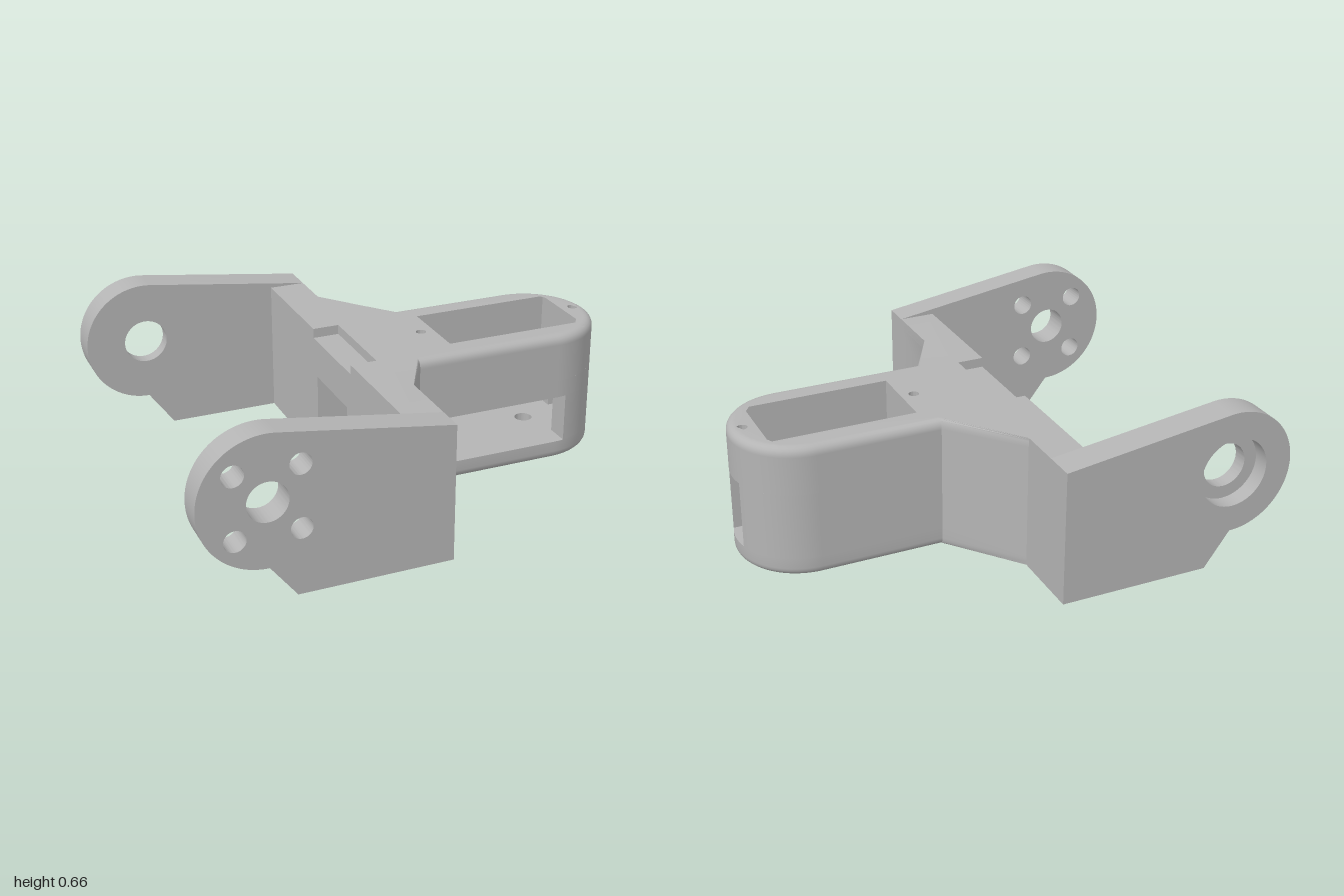
import * as THREE from 'three';
import { toCreasedNormals } from 'three/addons/utils/BufferGeometryUtils.js';

const R = 0.265;        // half width of the rounded housing
const END = 0.735;      // centre of its round end
const FILLET = 0.035;

const grey = new THREE.MeshStandardMaterial({ color: 0xb4b4b4 });
grey.name = 'grey';

function circle(x, y, r) {
  return new THREE.Path().absarc(x, y, r, 0, Math.PI * 2, true);
}

// Points on the round end, between two z values
function endArc(z0, z1, n = 28) {
  const a0 = Math.asin(z0 / R), a1 = Math.asin(z1 / R), pts = [];
  for (let i = 0; i <= n; i++) {
    const a = a0 + (a1 - a0) * i / n;
    pts.push([END + R * Math.cos(a), R * Math.sin(a)]);
  }
  return pts;
}

function finish(geo, name) {
  const mesh = new THREE.Mesh(toCreasedNormals(geo, 0.6), grey);
  mesh.name = name;
  return mesh;
}

// Horizontal slab from an x/z outline; side -1 or 1 rounds the lower or upper housing edge
function slab(name, outline, y0, y1, holes = [], side = 0) {
  const shape = new THREE.Shape(outline.map(([x, z]) => new THREE.Vector2(x, -z)));
  shape.holes.push(...holes);
  const steps = side ? 6 : 1, h = y1 - y0;
  const geo = new THREE.ExtrudeGeometry(shape, { depth: 1, steps, bevelEnabled: false, curveSegments: 24 });
  geo.rotateX(-Math.PI / 2);
  const p = geo.attributes.position;
  for (let i = 0; i < p.count; i++) {
    let x = p.getX(i), z = p.getZ(i), t = p.getY(i);
    let y = t * h;
    if (side) {
      const k = Math.round((side > 0 ? t : 1 - t) * steps);
      const a = Math.max(0, k - 1) / (steps - 1) * Math.PI / 2;
      const up = k === 0 ? 0 : h - FILLET + FILLET * Math.sin(a);
      y = side > 0 ? up : h - up;
      const sx = Math.min(x, END), d = Math.hypot(x - sx, z);
      if (x > 0.1 && Math.abs(d - R) < 0.002) {
        const f = (R - FILLET * (1 - Math.cos(a))) / R;
        x = sx + (x - sx) * f;
        z *= f;
      }
    }
    p.setXYZ(i, x, y0 + y, z);
  }
  return finish(geo, name);
}

// Upright arm plate with a round eye, between two z values
function armPlate(name, r, z0, z1, holes) {
  const s = new THREE.Shape();
  s.moveTo(-0.01, 0);
  s.lineTo(-0.01, 0.56);
  s.absarc(-0.735, 0.4, r, 1.426, Math.PI * 1.5, false);
  s.lineTo(-0.63, 0);
  s.closePath();
  s.holes.push(...holes);
  const geo = new THREE.ExtrudeGeometry(s, { depth: z1 - z0, bevelEnabled: false, curveSegments: 40 });
  geo.translate(0, 0, z0);
  return finish(geo, name);
}

export function createModel() {
  const model = new THREE.Group();
  model.name = 'jointBracket';

  // Outline pieces shared by the layers
  const front = [[-0.16, 0.725], [-0.01, 0.725], [-0.01, 0.465], [0.11, R]];
  const back = [[0.23, -R], [-0.01, -0.535], [-0.01, -0.715], [-0.16, -0.715]];
  const full = [...front, ...endArc(R, -R, 48), ...back];
  const notch = [[-0.16, -0.2], [-0.05, -0.2], [-0.05, 0.2], [-0.16, 0.2]];
  const pocket = () => new THREE.Path([[0.29, -0.16], [0.29, 0.16], [0.89, 0.16], [0.89, -0.16]]
    .map(([x, y]) => new THREE.Vector2(x, y)));
  const topHoles = () => [pocket(), circle(0.235, 0, 0.021), circle(0.945, 0, 0.021)];

  const body = new THREE.Group();
  body.name = 'housing';
  model.add(body);

  // Floor with its drain hole
  body.add(slab('floor', full, 0, 0.08, [circle(0.73, 0, 0.037)], -1));

  // Walls around the cable channel, front window and end window
  const backWall = [...endArc(-0.067, -R), ...back, [-0.16, -0.16], [0.89, -0.16], [0.89, -0.067]];
  body.add(slab('backWall', backWall, 0.08, 0.36));
  body.add(slab('frontWallInner', [...front, [0.17, R], [0.17, 0.16], [-0.16, 0.16]], 0.08, 0.285));
  const corner = endArc(R, 0.085).filter(([x]) => x > 0.785);
  body.add(slab('frontWallOuter',
    [[0.78, Math.sqrt(R * R - 0.045 ** 2)], ...corner, [0.89, 0.085], [0.89, 0.16], [0.78, 0.16]], 0.08, 0.285));
  body.add(slab('windowLintel',
    [...front, ...endArc(R, 0.085), [0.89, 0.085], [0.89, 0.16], [-0.16, 0.16]], 0.285, 0.36));

  // Upper body with pocket and screw holes, then the notched top
  body.add(slab('upperBody', full, 0.36, 0.52, topHoles()));
  body.add(slab('topRim', [...full, ...notch], 0.52, 0.56, topHoles(), 1));

  // Small peg inside the front window
  const peg = new THREE.CylinderGeometry(0.025, 0.025, 0.045, 20);
  peg.rotateZ(Math.PI / 2);
  peg.translate(0.1875, 0.19, 0.235);
  body.add(finish(peg, 'windowPeg'));

  // Front arm: axle hole and four screw holes
  const screws = [];
  for (const x of [-0.86, -0.61]) for (const y of [0.27, 0.525]) screws.push(circle(x, y, 0.043));
  model.add(armPlate('frontArm', R, 0.725, 0.84, [circle(-0.735, 0.4, 0.08), ...screws]));

  // Back arm: axle hole with an outer bearing seat
  const backArm = new THREE.Group();
  backArm.name = 'backArm';
  backArm.add(armPlate('backArmInner', 0.255, -0.775, -0.715, [circle(-0.735, 0.4, 0.092)]));
  backArm.add(armPlate('bearingSeat', 0.255, -0.845, -0.775, [circle(-0.735, 0.4, 0.145)]));
  model.add(backArm);

  return model;
}
